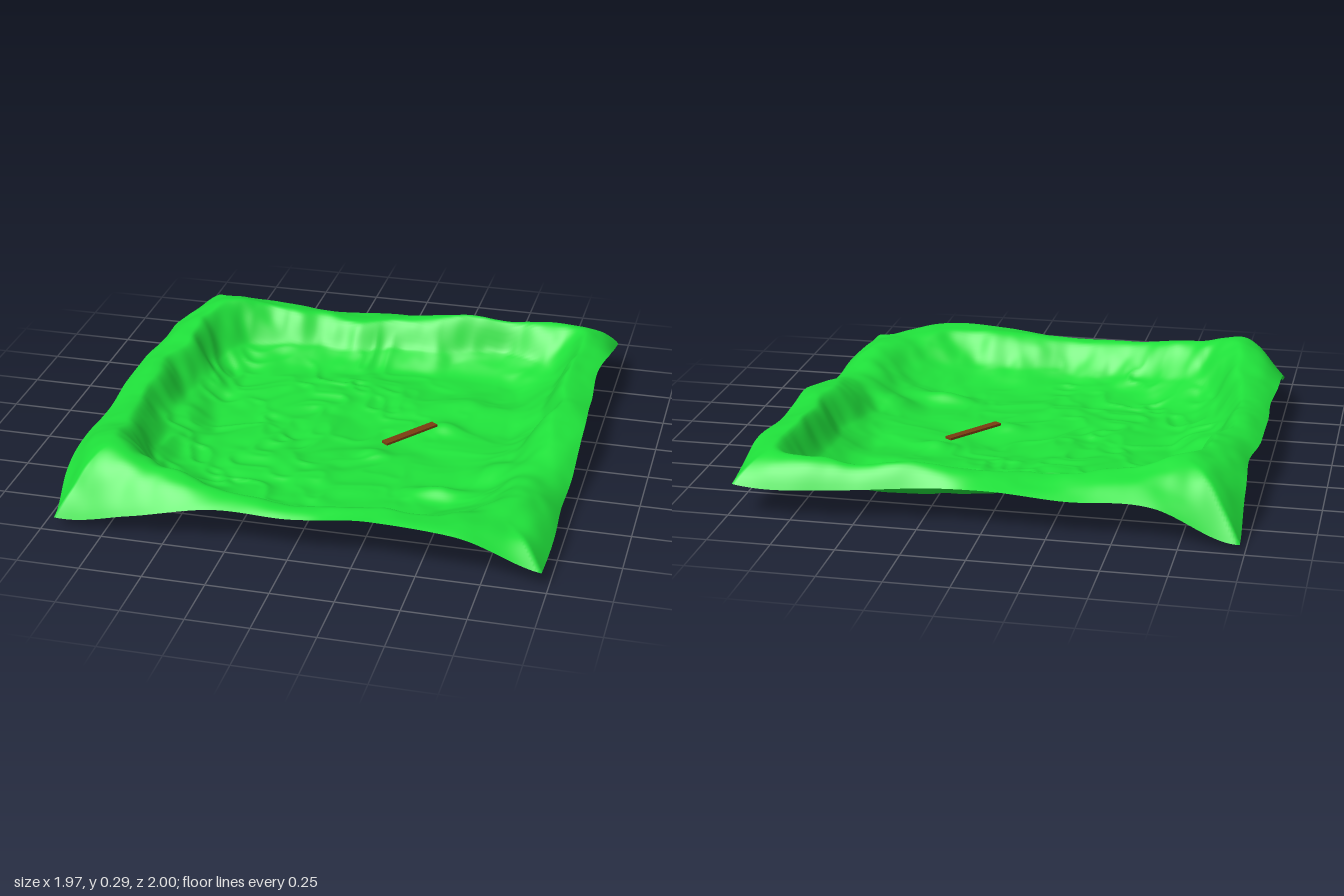
import * as THREE from 'three';

// Rim profiles, six samples per side: front (-x to +x), right (+z to -z), back (+x to -x), left (-z to +z)
const EDGE_Y = [
  0.04, 0.09, 0.16, 0.165, 0.20, 0.19,
  0.07, 0.095, 0.10, 0.19, 0.19, 0.21,
  0.13, 0.13, 0.15, 0.17, 0.15, 0.15,
  0.03, 0.17, 0.18, 0.18, 0.17, 0.16];
const CREST_Y = [
  0.285, 0.235, 0.195, 0.185, 0.21, 0.215,
  0.20, 0.18, 0.15, 0.215, 0.22, 0.24,
  0.24, 0.225, 0.235, 0.205, 0.20, 0.235,
  0.275, 0.25, 0.23, 0.225, 0.205, 0.25];
const CREST_R = [
  0.84, 0.86, 0.90, 0.92, 0.92, 0.90,
  0.88, 0.90, 0.88, 0.88, 0.89, 0.90,
  0.96, 0.93, 0.92, 0.87, 0.84, 0.82,
  0.82, 0.86, 0.87, 0.87, 0.87, 0.86];
const FOOT_R = [
  0.68, 0.68, 0.71, 0.74, 0.74, 0.70,
  0.66, 0.64, 0.62, 0.70, 0.75, 0.76,
  0.82, 0.82, 0.79, 0.74, 0.70, 0.68,
  0.68, 0.72, 0.72, 0.72, 0.72, 0.70];

// Smooth periodic lookup in a rim profile
function sample(list, u) {
  const n = list.length, i = Math.floor(u), t = u - i;
  const [a, b, c, d] = [-1, 0, 1, 2].map((k) => list[(i + k + n) % n]);
  return b + 0.5 * t * (c - a + t * (2 * a - 5 * b + 4 * c - d + t * (3 * (b - c) + d - a)));
}

// Repeatable smooth noise, -1 to 1
function hash(i, j) {
  const s = Math.sin(i * 127.1 + j * 311.7) * 43758.5453;
  return (s - Math.floor(s)) * 2 - 1;
}
function noise(x, z) {
  const i = Math.floor(x), j = Math.floor(z);
  const f = (t) => t * t * (3 - 2 * t);
  const a = f(x - i), b = f(z - j);
  return THREE.MathUtils.lerp(
    THREE.MathUtils.lerp(hash(i, j), hash(i + 1, j), a),
    THREE.MathUtils.lerp(hash(i, j + 1), hash(i + 1, j + 1), a), b);
}

const bump = (x, z, cx, cz, rx, rz) => Math.exp(-(((x - cx) / rx) ** 2) - ((z - cz) / rz) ** 2);

// Valley floor: eroded ground, a few mounds and a smooth channel under the bridge
function floorHeight(x, z) {
  const wx = x + 0.07 * noise(x * 5 + 9, z * 5), wz = z + 0.07 * noise(x * 5, z * 5 + 7);
  const rough = THREE.MathUtils.smoothstep(0.25 - x, -0.1, 0.4);
  let y = 0.029 + 0.011 * noise(wx * 3, wz * 3) + 0.008 * noise(wx * 7, wz * 9);
  y += (0.004 + 0.012 * rough) * (0.5 - Math.abs(noise(wx * 11 + 3, wz * 14)));
  y += 0.04 * bump(x, z, 0.48, 0.42, 0.14, 0.05) + 0.045 * bump(x, z, 0.68, 0.24, 0.1, 0.08);
  y += 0.02 * bump(x, z, -0.15, -0.42, 0.18, 0.18) + 0.02 * bump(x, z, 0.5, -0.4, 0.2, 0.08);
  y += 0.026 * bump(x, z, 0.13, 0.12, 0.08, 0.05) + 0.026 * bump(x, z, 0.38, -0.17, 0.08, 0.05);
  const across = (x - 0.245) * 0.6 - (z + 0.035) * 0.8;
  const along = (x - 0.245) * 0.8 + (z + 0.035) * 0.6;
  return y - 0.014 * Math.exp(-((across / 0.08) ** 2) - (along / 0.35) ** 2);
}

// Height for grid coordinates from -1 to 1
function landHeight(x, z) {
  const { smoothstep } = THREE.MathUtils;
  const square = Math.max(Math.abs(x), Math.abs(z), 1e-6);
  let side, s;
  if (z === square) [side, s] = [0, x];
  else if (x === square) [side, s] = [1, -z];
  else if (-z === square) [side, s] = [2, -x];
  else [side, s] = [3, z];
  const u = (side * 6 + (s / square + 1) * 3) % 24;
  const edge = sample(EDGE_Y, u), crestR = sample(CREST_R, u), footR = sample(FOOT_R, u);
  const bumps = 0.011 * noise(x * 6 + 1, z * 6) + 0.004 * noise(x * 13, z * 13);
  const crest = sample(CREST_Y, u) + bumps;

  // Rounded-square distance keeps the corners of the valley soft
  const r = (x ** 6 + z ** 6) ** (1 / 6);
  const outer = r / square;
  const ragged = 0.028 * noise(x * 6, z * 6 + 4) + 0.012 * noise(x * 14, z * 14);
  const q = r + ragged * (1 - smoothstep(square, 0.86, 1));
  if (q > crestR) {
    const t = Math.min(1, (q - crestR) / (outer - crestR));
    return crest + (edge - crest) * t * t;
  }
  // Steep bank below the crest, then a gentle run down to the floor
  const wall = 0.5 * smoothstep(q, footR + 0.03, crestR) + 0.5 * smoothstep(q, footR - 0.12, crestR);
  return THREE.MathUtils.lerp(floorHeight(x, z), crest, wall);
}

function createLand() {
  const geometry = new THREE.PlaneGeometry(2, 2, 200, 200).rotateX(-Math.PI / 2);
  const p = geometry.attributes.position;
  for (let i = 0; i < p.count; i++) {
    const x = THREE.MathUtils.clamp(p.getX(i), -1, 1), z = THREE.MathUtils.clamp(p.getZ(i), -1, 1);
    // Wavy outline, fading out toward the middle
    const dx = 0.016 * noise(z * 4 + 2, x * 2) * x ** 4;
    const dz = 0.01 * noise(x * 4 + 5, z * 2) * z ** 4;
    const backCorner = 0.035 * bump(x, z, 0.82, -1, 0.25, 0.15);
    const frontBulge = 0.03 * bump(x, z, 0.6, 1, 0.25, 0.15);
    p.setXYZ(i, x * 0.97 + dx, Math.max(0, landHeight(x, z)), z * 0.963 + dz - backCorner + frontBulge);
  }
  geometry.computeVertexNormals();
  const land = new THREE.Mesh(geometry, new THREE.MeshStandardMaterial({ color: 0x1fe03a, side: THREE.DoubleSide }));
  land.name = 'valleyLand';
  return land;
}

export function createModel() {
  const model = new THREE.Group();
  model.name = 'valley';
  model.add(createLand());

  // Plank laid diagonally across the channel
  const bridge = new THREE.Mesh(
    new THREE.BoxGeometry(0.275, 0.01, 0.035),
    new THREE.MeshStandardMaterial({ color: 0x7a3d10 }));
  bridge.name = 'bridge';
  bridge.position.set(0.245, 0.061, -0.035);
  bridge.rotation.y = Math.atan2(0.22, 0.165);
  model.add(bridge);
  return model;
}
